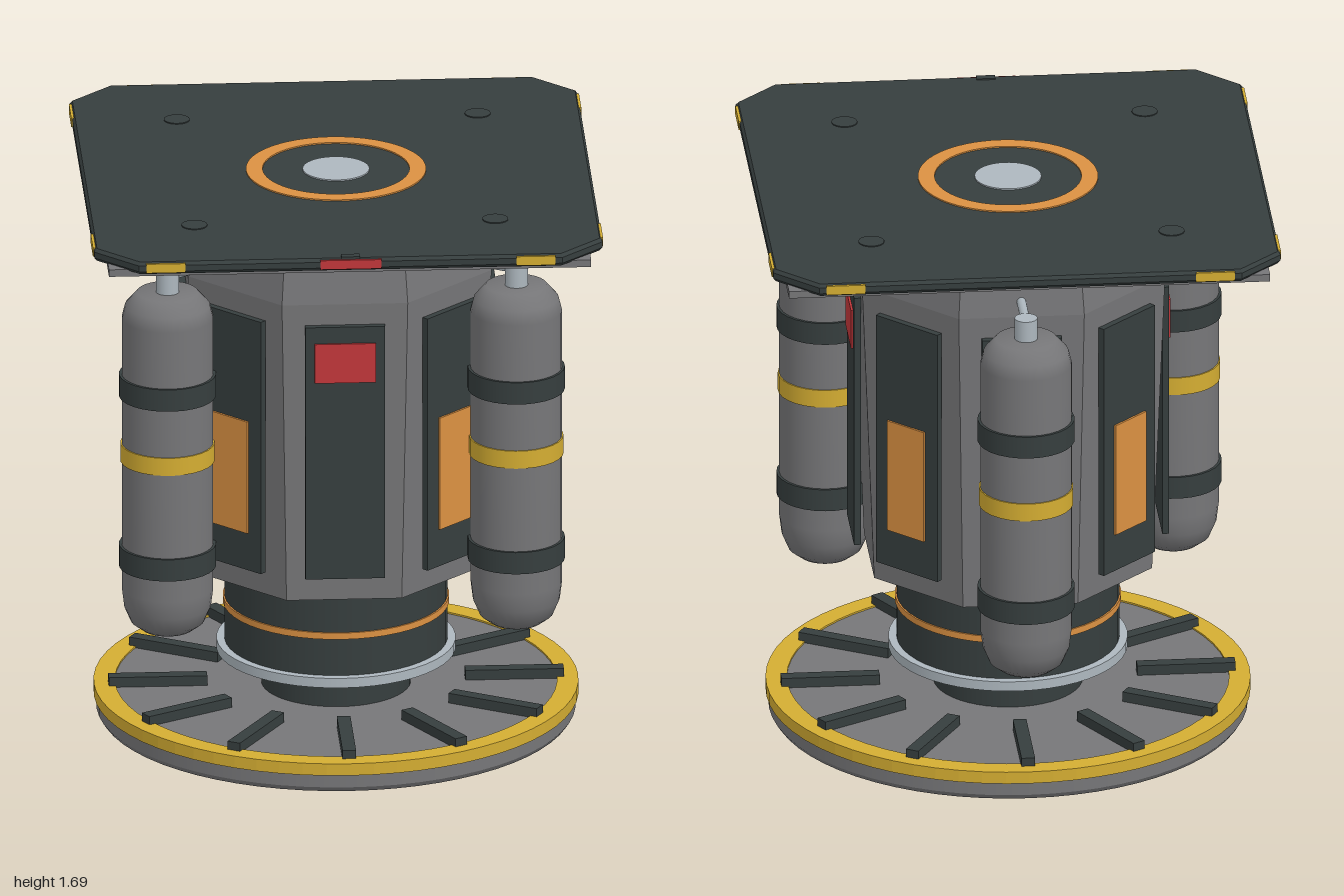
import * as THREE from 'three';

const mat = (name, color, extra = {}) => Object.assign(new THREE.MeshStandardMaterial({ color, ...extra }), { name });

export function createModel() {
  const dark = mat('dark slate', 0x363e3e);
  const gray = mat('hull gray', 0x767678);
  const grayFlat = mat('hull gray faceted', 0x767678, { flatShading: true });
  const yellow = mat('warning yellow', 0xd4ad32);
  const orange = mat('orange', 0xdb9142);
  const red = mat('signal red', 0xc2373a);
  const silver = mat('silver', 0xadb7be);

  const model = new THREE.Group();
  model.name = 'dockingPost';

  const add = (parent, name, geo, material, x = 0, y = 0, z = 0) => {
    const m = new THREE.Mesh(geo, material);
    m.name = name;
    m.position.set(x, y, z);
    parent.add(m);
    return m;
  };
  // Upright cylinder between two heights
  const disc = (parent, name, material, r, y0, y1, x = 0, z = 0, rTop = r, seg = 48) =>
    add(parent, name, new THREE.CylinderGeometry(rTop, r, y1 - y0, seg), material, x, (y0 + y1) / 2, z);
  const box = (parent, name, material, w, h, d, x, y, z) =>
    add(parent, name, new THREE.BoxGeometry(w, h, d), material, x, y, z);
  // Group turned so that its +z points outward at the given angle
  const spoke = (name, angle) => {
    const g = new THREE.Group();
    g.name = name;
    g.rotation.y = angle;
    model.add(g);
    return g;
  };
  // Flat ring with a square section
  const ring = (name, material, rIn, rOut, y0, y1) => {
    const pts = [[rIn, y0], [rOut, y0], [rOut, y1], [rIn, y1], [rIn, y0]].map(p => new THREE.Vector2(...p));
    const geo = new THREE.LatheGeometry(pts, 64).toNonIndexed();
    geo.computeVertexNormals();
    return add(model, name, geo, material);
  };

  // Base disc with yellow rim and radial fins
  disc(model, 'baseChamfer', gray, 0.695, 0.305, 0.32, 0, 0, 0.705, 64);
  disc(model, 'baseDisc', gray, 0.705, 0.32, 0.36, 0, 0, 0.705, 64);
  disc(model, 'baseTop', gray, 0.66, 0.36, 0.392, 0, 0, 0.66, 64);
  ring('baseRim', yellow, 0.65, 0.713, 0.36, 0.397);
  for (let i = 0; i < 12; i++) {
    box(spoke('baseFin', i * Math.PI / 6), 'fin', dark, 0.04, 0.035, 0.29, 0, 0.405, 0.525);
  }

  // Hub and neck
  disc(model, 'hub', dark, 0.22, 0.39, 0.462);
  disc(model, 'hubChamfer', dark, 0.22, 0.462, 0.476, 0, 0, 0.205);
  disc(model, 'spindle', silver, 0.16, 0.47, 0.505);
  disc(model, 'neckFlange', silver, 0.352, 0.5, 0.53);
  disc(model, 'neck', dark, 0.328, 0.53, 0.81);
  disc(model, 'neckStripe', orange, 0.333, 0.645, 0.665);

  // Octagonal body, flats facing front, sides and diagonals
  const k = 1 / Math.cos(Math.PI / 8);
  const profile = [[0, 0.8], [0.41, 0.8], [0.447, 1.74], [0.415, 1.965], [0, 1.965]]
    .map(([a, y]) => new THREE.Vector2(a * k, y));
  add(model, 'body', new THREE.LatheGeometry(profile, 8, Math.PI / 8), grayFlat);

  // Body panels, alternating red plate and orange window
  for (let i = 0; i < 8; i++) {
    const g = spoke('bodyPanel', i * Math.PI / 4);
    box(g, 'panel', dark, 0.235, 0.79, 0.02, 0, 1.28, 0.455);
    if (i % 2 === 0) box(g, 'redPlate', red, 0.18, 0.122, 0.009, 0, 1.563, 0.467);
    else box(g, 'orangeWindow', orange, 0.14, 0.35, 0.009, 0, 1.177, 0.467);
  }

  // Three tanks, 120 degrees apart, with bands, valve, pipe and brackets
  const tankProfile = [[0, 0.68], [0.075, 0.68], [0.108, 0.705], [0.128, 0.752], [0.135, 0.81],
    [0.135, 1.655], [0.125, 1.695], [0.09, 1.735], [0, 1.735]].map(p => new THREE.Vector2(...p));
  const R = 0.593;
  for (const deg of [60, 180, 300]) {
    const g = spoke('tankAssembly', deg * Math.PI / 180);
    add(g, 'tank', new THREE.LatheGeometry(tankProfile, 28), gray, 0, 0, R);
    for (const y of [0.912, 1.445]) {
      disc(g, 'tankStrap', dark, 0.143, y - 0.034, y + 0.034, 0, R, 0.143, 28);
      box(g, 'tankBracket', dark, 0.06, 0.05, 0.14, 0, y, 0.44);
    }
    disc(g, 'tankStripe', yellow, 0.139, 1.208, 1.263, 0, R, 0.139, 28);
    disc(g, 'valve', silver, 0.034, 1.73, 1.8, 0, R, 0.034, 16);
    const pipe = add(g, 'pipe', new THREE.CylinderGeometry(0.014, 0.014, 0.19, 12), silver, 0, 1.785, 0.51);
    pipe.rotation.x = Math.PI / 2;
  }

  // Top plate: chamfered square with a small bevel
  const h = 0.74, c = 0.62;
  const shape = new THREE.Shape([[c, -h], [h, -c], [h, c], [c, h], [-c, h], [-h, c], [-h, -c], [-c, -h]]
    .map(p => new THREE.Vector2(...p)));
  const plate = new THREE.ExtrudeGeometry(shape, {
    depth: 0.018, bevelEnabled: true, bevelSize: 0.008, bevelThickness: 0.01, bevelSegments: 1,
  });
  plate.rotateX(-Math.PI / 2);
  add(model, 'topPlate', plate, dark, 0, 1.968, 0);

  // Edge markers and the frame under the plate
  for (let i = 0; i < 4; i++) {
    const g = spoke('plateSide', i * Math.PI / 2);
    for (const x of [-0.545, 0.545]) box(g, 'edgeMarker', yellow, 0.115, 0.028, 0.008, x, 1.978, 0.747);
    box(g, 'frameRail', gray, 1.42, 0.022, 0.04, 0, 1.951, 0.69);
    disc(g, 'frameBolt', silver, 0.022, 1.922, 1.96, 0.63, 0.63, 0.022, 12);
    disc(g, 'plateStud', dark, 0.038, 1.99, 1.999, 0.443, 0.443, 0.038, 24);
  }
  box(model, 'frontMarker', red, 0.18, 0.028, 0.008, 0, 1.978, 0.747);
  box(model, 'frontNotch', dark, 0.055, 0.008, 0.025, 0, 1.996, 0.731);

  // Top socket
  ring('socketRing', orange, 0.216, 0.265, 1.99, 2.0);
  disc(model, 'socketPin', silver, 0.098, 1.99, 2.0);

  return model;
}
